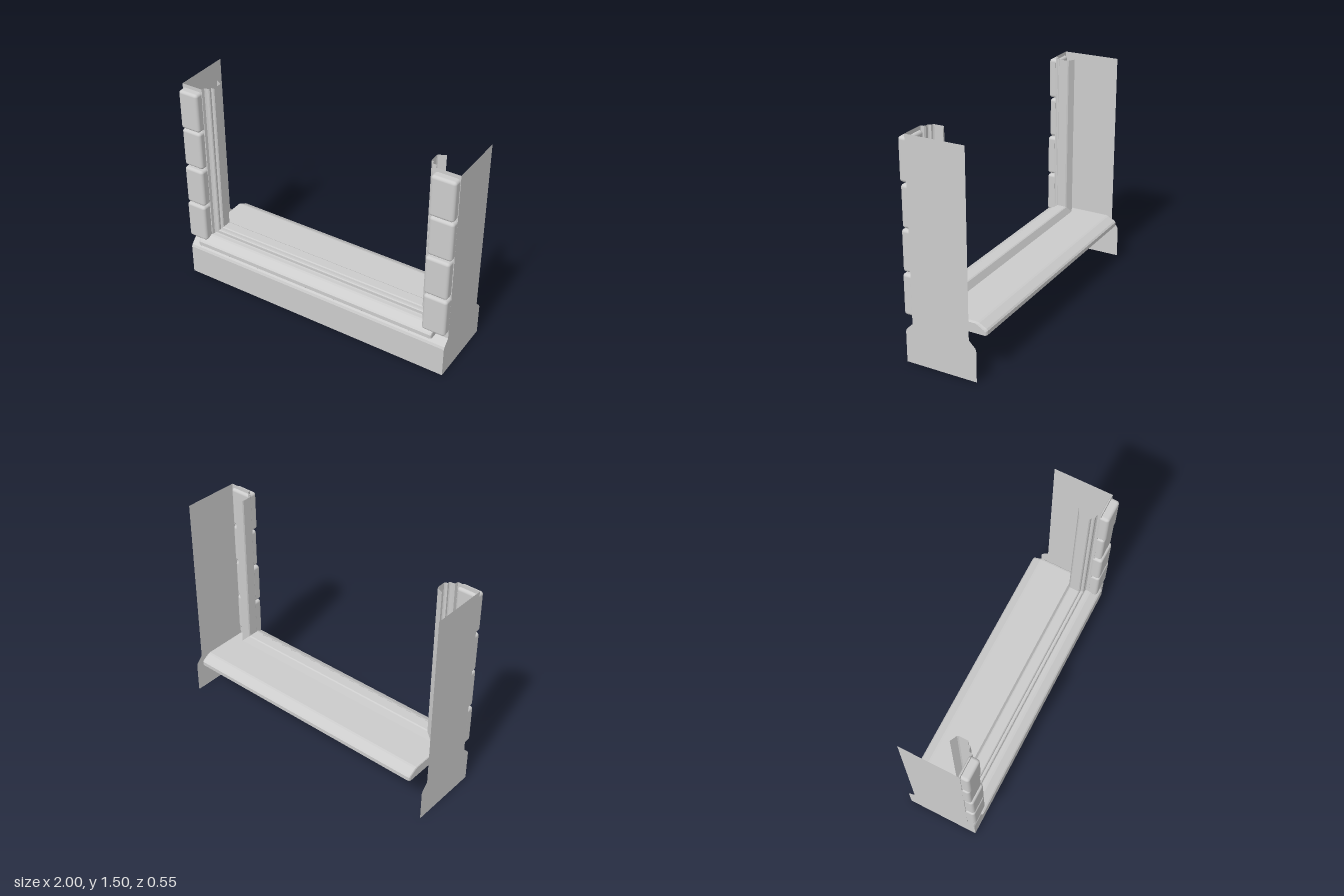
import * as THREE from 'three';
import { RoundedBoxGeometry } from 'three/addons/geometries/RoundedBoxGeometry.js';

const grey = new THREE.MeshStandardMaterial({ color: 0xcccccc });
const sheet = new THREE.MeshStandardMaterial({ color: 0xcccccc, side: THREE.DoubleSide });

// Open skin over a row of cross-sections, each a list of [x, y, z]
function loft(sections) {
  const pos = [];
  for (let i = 0; i < sections.length - 1; i++) {
    const a = sections[i], b = sections[i + 1];
    for (let j = 0; j < a.length - 1; j++) {
      pos.push(...a[j], ...b[j], ...b[j + 1], ...a[j], ...b[j + 1], ...a[j + 1]);
    }
  }
  const g = new THREE.BufferGeometry();
  g.setAttribute('position', new THREE.Float32BufferAttribute(pos, 3));
  g.computeVertexNormals();
  return g;
}

// Flat panel facing +x or -x from a [z, y] outline
function sidePanel(outline, x) {
  const shape = new THREE.Shape(outline.map(([z, y]) => new THREE.Vector2(x > 0 ? -z : z, y)));
  const g = new THREE.ShapeGeometry(shape);
  g.rotateY(Math.sign(x) * Math.PI / 2);
  g.translate(x, 0, 0);
  return g;
}

// Mirror a front-half [z, y] profile to the back
const mirrorZ = (half) => [...half, ...half.slice().reverse().map(([z, y]) => [-z, y])];

export function createModel() {
  const model = new THREE.Group();
  const add = (name, geometry, material = sheet) => {
    const m = new THREE.Mesh(geometry, material);
    m.name = name;
    model.add(m);
    return m;
  };

  const TOP = 1.495;

  // Base: vertical plinth with a sloped shoulder
  const plinth = [[0.25, 0], [0.25, 0.215], [0.243, 0.232], [0.2, 0.275]];
  add('plinth', loft([-1, 1].map((x) => plinth.map(([z, y]) => [x, y, z]))));

  // End panels following the wall section
  const wallOutline = mirrorZ([...plinth, [0.2, TOP]]);
  for (const x of [1, -1]) add(x > 0 ? 'leftEndPanel' : 'rightEndPanel', sidePanel(wallOutline, x));

  // Narrow wall strips behind the quoin blocks
  for (const [x0, x1, name] of [[-1, -0.845, 'rightPier'], [0.835, 1, 'leftPier']]) {
    add(name, loft([x0, x1].map((x) => [[x, 0.27, 0.2], [x, TOP, 0.2]])));
  }

  // Sill: hollow slab with sloped, rounded lips front and back
  const sill = mirrorZ([[0.2, 0.275], [0.265, 0.275], [0.273, 0.283], [0.273, 0.31],
    [0.264, 0.32], [0.215, 0.348], [0.2, 0.352]]);
  const sillSection = (x, inset) => sill.map(([z, y]) => [
    x, y - (y > 0.3 ? inset * 0.6 : -inset * 0.3), z - Math.sign(z) * inset]);
  add('sill', loft([
    sillSection(-0.915, 0.012), sillSection(-0.911, 0.004), sillSection(-0.9, 0),
    sillSection(0.9, 0), sillSection(0.911, 0.004), sillSection(0.915, 0.012),
  ]));
  for (const x of [0.915, -0.915]) {
    add('sillEnd', sidePanel(sillSection(x, 0.012).map(([, y, z]) => [z, y]), x));
  }

  // Window frame: stepped [inward, z] moulding swept down, across and up
  const moulding = [[-0.008, 0.2], [-0.004, 0.178], [0.006, 0.172], [0.026, 0.172],
    [0.031, 0.166], [0.031, 0.152], [0.044, 0.149], [0.05, 0.143], [0.05, 0.08],
    [0.045, 0.072], [0, 0.05]];
  const sweep = (left, right, bottom) => [
    moulding.map(([u, z]) => [left + u, TOP, z]),
    moulding.map(([u, z]) => [left + u, bottom + u, z]),
    moulding.map(([u, z]) => [right - u, bottom + u, z]),
    moulding.map(([u, z]) => [right - u, TOP, z]),
  ];
  add('windowFrame', loft(sweep(-0.838, 0.83, 0.353)));

  // Quoin blocks: [bottom, top, front z, sideways shift]
  const rows = [[0.325, 0.603, 0.26, 0], [0.613, 0.892, 0.258, -0.004],
    [0.902, 1.18, 0.247, 0], [1.19, 1.47, 0.254, -0.003]];
  for (const side of [1, -1]) {
    const inner = side > 0 ? 0.835 : 0.852;
    for (const [y0, y1, front, shift] of rows) {
      const w = 1 - inner, d = front - 0.182;
      const block = add(side > 0 ? 'leftQuoin' : 'rightQuoin',
        new RoundedBoxGeometry(w, y1 - y0, d, 3, 0.02), grey);
      block.position.set(side * ((1 + inner) / 2 + shift), (y0 + y1) / 2, 0.182 + d / 2);
    }
  }

  return model;
}
